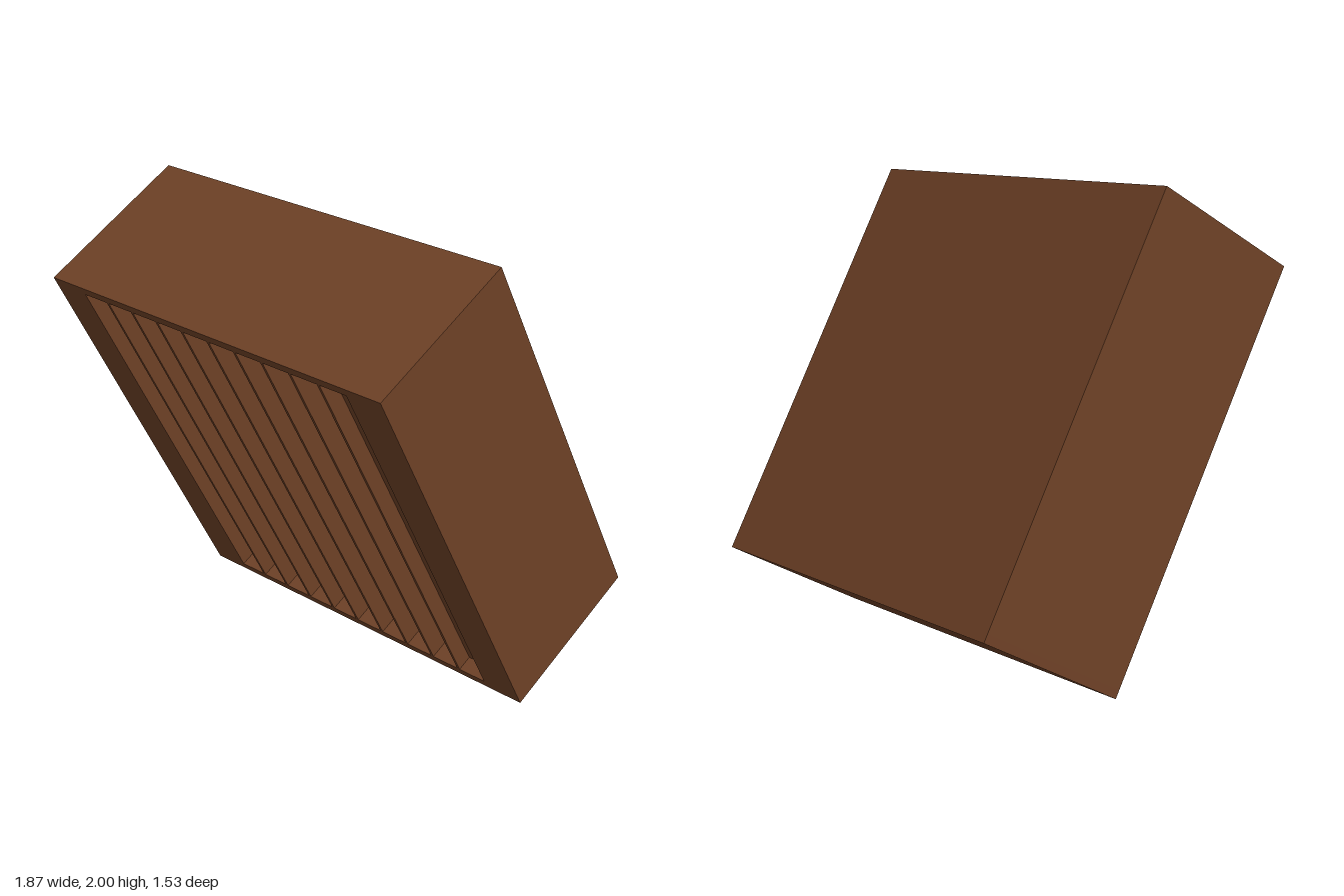
import * as THREE from 'three';

const WIDTH = 1.87, HEIGHT = 1.874, DEPTH = 0.736, TILT = THREE.MathUtils.degToRad(28);
const RAIL = 0.037, PITCH = 0.1512, SLOT = 0.138, MAX_DEPTH = 0.25;

export function createModel() {
  const wood = new THREE.MeshStandardMaterial({ color: 0x6e4126 });
  wood.name = 'brown wood';
  const model = new THREE.Group();
  const cabinet = new THREE.Group();
  cabinet.name = 'tiltedCabinet';
  model.add(cabinet);

  const add = (name, geometry, y) => {
    const mesh = new THREE.Mesh(geometry, wood);
    mesh.name = name;
    mesh.position.y = y;
    cabinet.add(mesh);
  };

  // Body: plan outline with a row of slots whose depth follows a sine arc
  const w = WIDTH / 2, d = DEPTH / 2;
  const body = new THREE.Shape();
  body.moveTo(-w, -d);
  for (let i = 1; i <= 10; i++) {
    const x = (i - 5.5) * PITCH;
    const bottom = -d + MAX_DEPTH * Math.sin(Math.PI * i / 11);
    body.lineTo(x - SLOT / 2, -d);
    body.lineTo(x - SLOT / 2, bottom);
    body.lineTo(x + SLOT / 2, bottom);
    body.lineTo(x + SLOT / 2, -d);
  }
  body.lineTo(w, -d);
  body.lineTo(w, d);
  body.lineTo(-w, d);
  body.closePath();
  const inner = HEIGHT - 2 * RAIL;
  const bodyGeometry = new THREE.ExtrudeGeometry(body, { depth: inner, bevelEnabled: false });
  bodyGeometry.rotateX(-Math.PI / 2);
  add('slottedBody', bodyGeometry, -inner / 2);

  // Rails closing the slots at both ends
  for (const [name, side] of [['topRail', 1], ['bottomRail', -1]]) {
    add(name, new THREE.BoxGeometry(WIDTH, RAIL, DEPTH), side * (HEIGHT - RAIL) / 2);
  }

  // Lean forward, resting on the lower front edge
  cabinet.rotation.x = TILT;
  cabinet.position.y = 1;
  return model;
}
